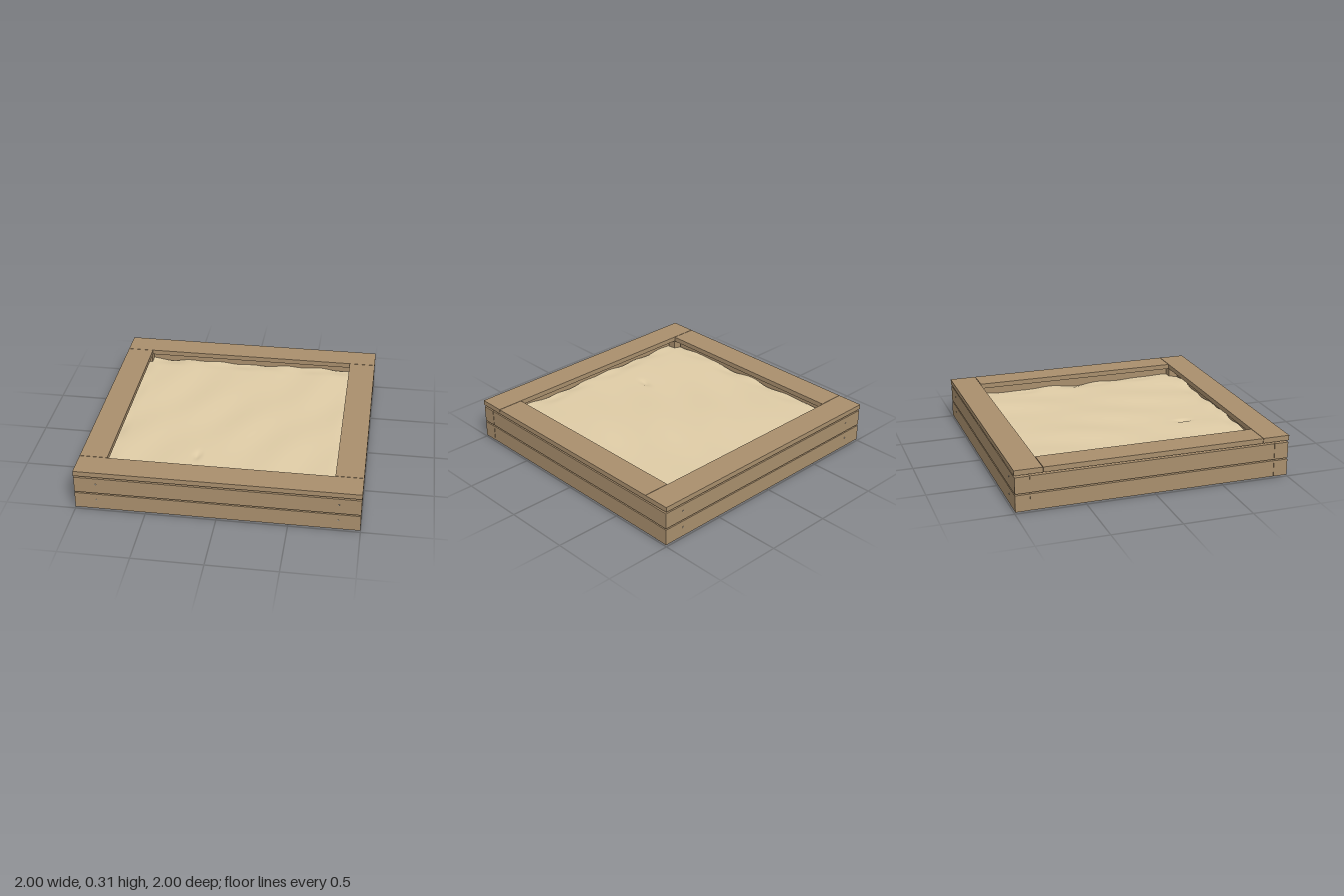
import * as THREE from 'three';

const wood = new THREE.MeshStandardMaterial({ color: 0xa98f6d });
wood.name = 'wood';
const sandColor = new THREE.MeshStandardMaterial({ color: 0xdfcca6 });
sandColor.name = 'sand';
const metal = new THREE.MeshStandardMaterial({ color: 0xaaa59b });
metal.name = 'screw metal';

export function createModel() {
  const group = new THREE.Group();
  const add = (name, geometry, material, x, y, z) => {
    const mesh = new THREE.Mesh(geometry, material);
    mesh.name = name;
    mesh.position.set(x, y, z);
    group.add(mesh);
    return mesh;
  };
  const board = (name, w, h, d, x, y, z) => add(name, new THREE.BoxGeometry(w, h, d), wood, x, y, z);

  for (const s of [-1, 1]) {
    const end = s > 0 ? 'front' : 'back';
    const side = s > 0 ? 'left' : 'right';

    // Two courses of wall boards; front and back cover the side board ends
    for (const y of [0.071, 0.2]) {
      board(end + 'WallBoard', 1.998, 0.119, 0.104, 0, y, s * 0.944);
      board(side + 'WallBoard', 0.104, 0.119, 1.782, s * 0.945, y, 0);

      // Small screw heads into the corner posts
      for (const x of [-0.845, 0.845]) {
        const screw = add(end + 'Screw', new THREE.SphereGeometry(0.006, 10, 6, 0, Math.PI * 2, 0, Math.PI / 2),
          metal, x, y + 0.012, s * 0.996);
        screw.rotation.x = s * Math.PI / 2;
        screw.scale.y = 0.65;
      }
    }

    // Seat planks around the rim
    board(end + 'SeatPlank', 2, 0.037, 0.198, 0, 0.2925, s * 0.901);
    board(side + 'SeatPlank', 0.198, 0.037, 1.597, s * 0.901, 0.2925, 0);

    // Corner posts
    for (const z of [-1, 1]) board('cornerPost', 0.07, 0.274, 0.07, s * 0.845, 0.137, z * 0.845);
  }

  // Sand bed: flat underneath, rippled on top with one small dent, and an uneven outline
  const sand = new THREE.BoxGeometry(1.78, 0.055, 1.78, 90, 1, 90);
  const p = sand.attributes.position;
  for (let i = 0; i < p.count; i++) {
    const x = p.getX(i), z = p.getZ(i);
    const ripple = 0.003 * Math.sin(11 * x + 6 * z + Math.sin(3 * z))
      + 0.003 * Math.sin(4 * x - 5 * z + 1) + 0.0015 * Math.sin(17 * x + 3 * z);
    const dent = 0.018 * Math.exp(-(((x + 0.21) / 0.018) ** 2) - ((z - 0.52) / 0.05) ** 2);
    const lumps = 0.6 * Math.sin(9 * x + 13 * z) + 0.4 * Math.sin(23 * x - 19 * z);
    const rim = THREE.MathUtils.smoothstep(Math.max(Math.abs(x), Math.abs(z)), 0.75, 0.89);
    const pull = 1 - rim * 0.008 * (1 + lumps);
    const top = p.getY(i) > 0;
    const y = top ? 0.204 + ripple - dent - rim * (0.008 + 0.008 * lumps) : 0.147 + rim * 0.006 * lumps;
    p.setXYZ(i, x * pull, y, z * pull);
  }
  sand.computeVertexNormals();
  add('sand', sand, sandColor, 0, 0, 0);

  return group;
}
